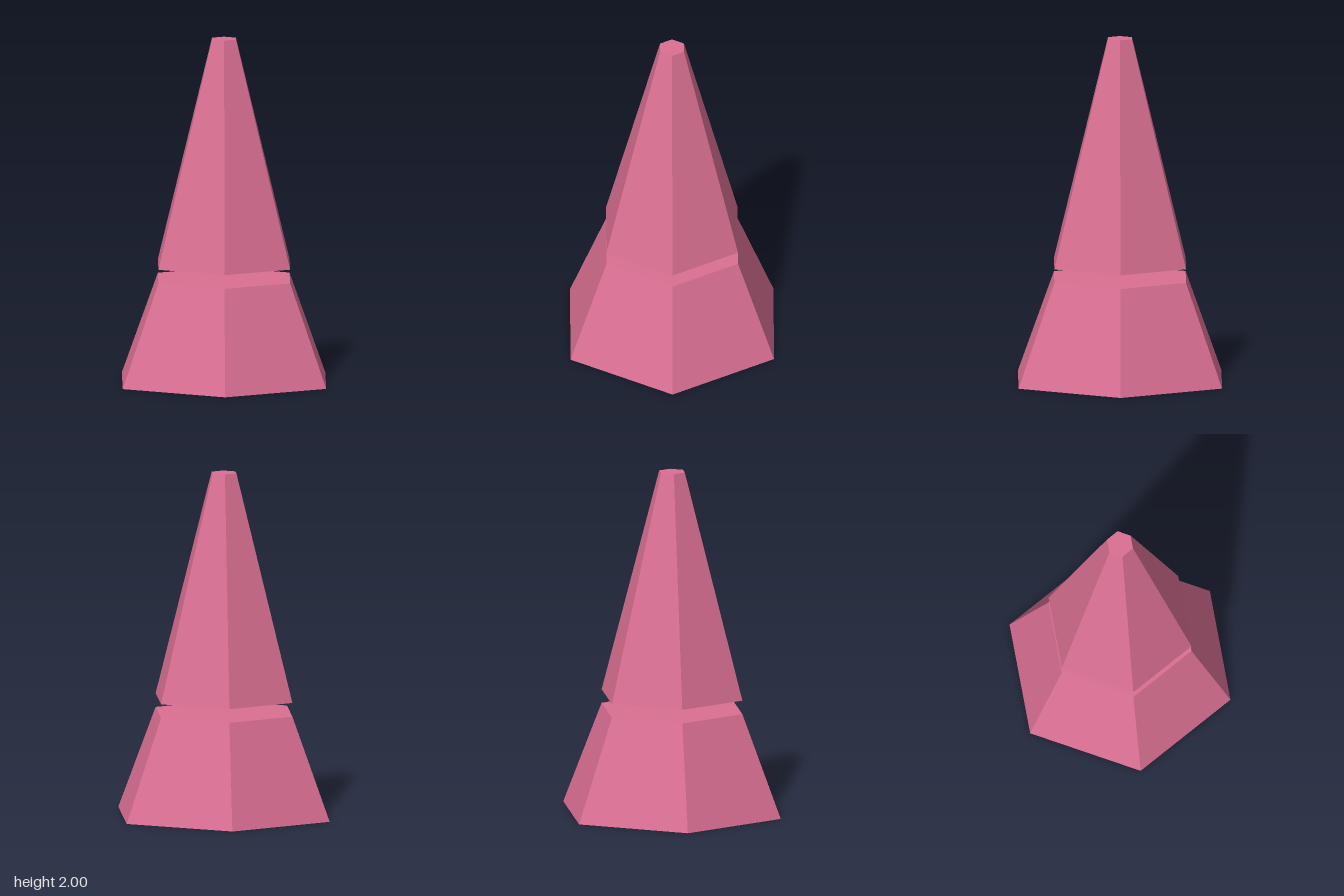
import * as THREE from 'three';

const SIDES = 6;

// Closed hexagonal frustum with corners on the x axis, standing on y = bottom
function frustum(name, bottom, top, bottomRadius, topRadius, material) {
  const height = top - bottom;
  const geometry = new THREE.CylinderGeometry(
    topRadius, bottomRadius, height, SIDES, 1, false, Math.PI / SIDES);
  const mesh = new THREE.Mesh(geometry, material);
  mesh.name = name;
  mesh.position.y = bottom + height / 2;
  return mesh;
}

export function createModel() {
  const pink = new THREE.MeshStandardMaterial({ color: 0xdb7093, flatShading: true });
  pink.name = 'pink';

  const model = new THREE.Group();
  model.name = 'splitHexagonalSpire';
  model.add(
    // Wide base, then the tall spire floating just above it
    frustum('base', 0, 0.6, 0.68, 0.44, pink),
    frustum('spire', 0.68, 2, 0.44, 0.08, pink),
  );
  return model;
}
